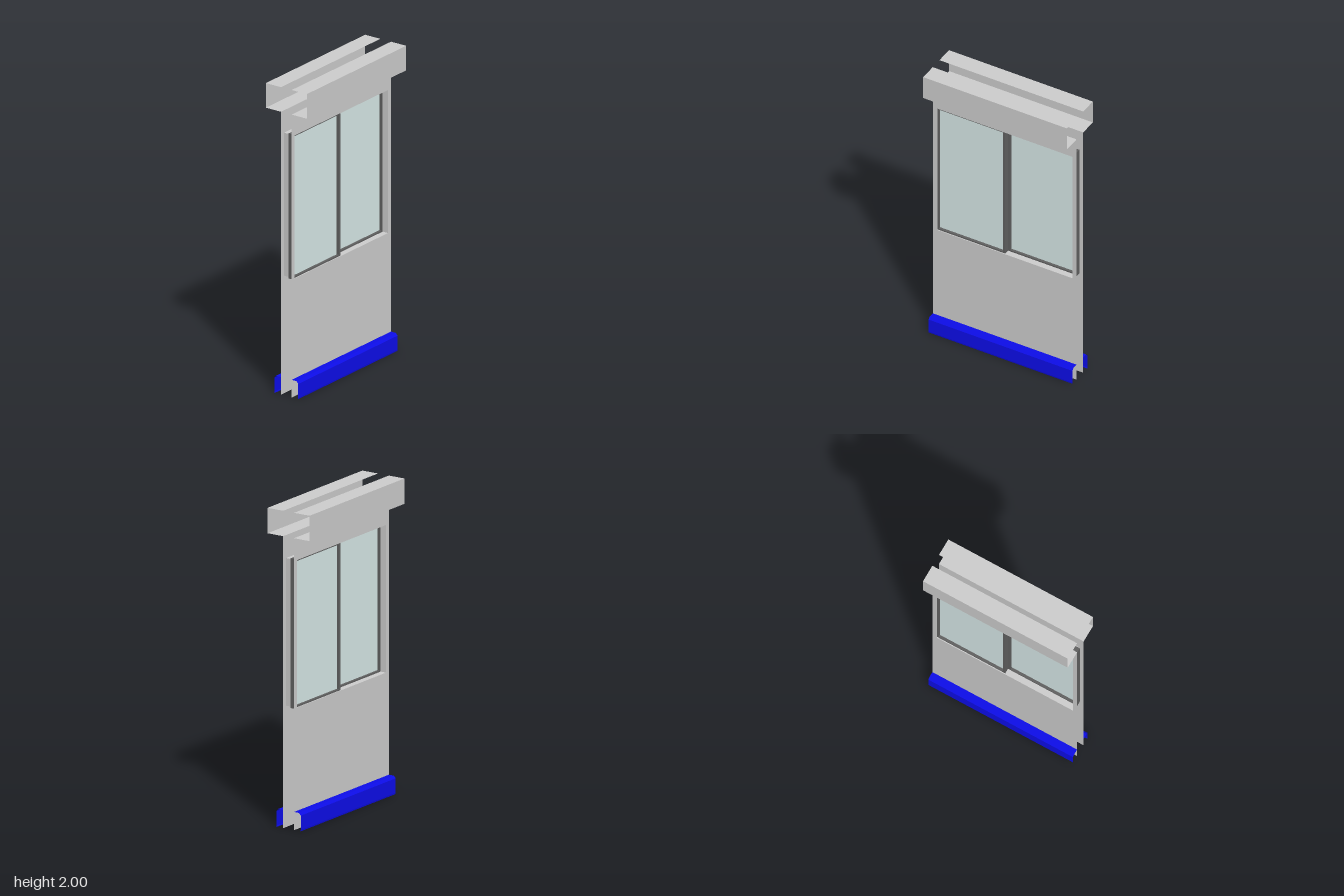
import * as THREE from 'three';

const mat = (color) => new THREE.MeshStandardMaterial({ color, side: THREE.DoubleSide, flatShading: true });
const grey = mat(0xcccccc);
const dark = mat(0x606060);
const blue = mat(0x0d0de8);
const glass = mat(0xd6e7e6);

const HALF_W = 0.505;  // half width of the wall
const FACE = 0.04;     // distance of each wall skin from the middle
const OPEN_X = 0.475, OPEN_B = 0.765, OPEN_T = 1.695;

function add(group, name, geometry, material) {
  const mesh = new THREE.Mesh(geometry, material);
  mesh.name = name;
  group.add(mesh);
  return mesh;
}

// Sheet swept from a to b; place(p, t) turns a profile point into [x, y, z]
function sheet(profile, a, b, place) {
  const pos = [];
  for (let i = 0; i < profile.length - 1; i++) {
    const p = profile[i], q = profile[i + 1];
    const [A, B, C, D] = [place(p, a), place(q, a), place(q, b), place(p, b)];
    pos.push(...A, ...B, ...C, ...A, ...C, ...D);
  }
  const g = new THREE.BufferGeometry();
  g.setAttribute('position', new THREE.Float32BufferAttribute(pos, 3));
  g.computeVertexNormals();
  return g;
}
const alongX = ([z, y], x) => [x, y, z];
const alongZ = ([x, y], z) => [x, y, z];

function rect(path, x0, y0, x1, y1) {
  path.moveTo(x0, y0);
  path.lineTo(x1, y0);
  path.lineTo(x1, y1);
  path.lineTo(x0, y1);
  path.closePath();
  return path;
}

// Framed sliding window
function createSash() {
  const sash = new THREE.Group();
  sash.name = 'windowSash';
  const x0 = -0.482, x1 = 0, y0 = 0.758, y1 = 1.702, w = 0.016;
  const outline = rect(new THREE.Shape(), x0, y0, x1, y1);
  outline.holes.push(rect(new THREE.Path(), x0 + w, y0 + w, x1 - w, y1 - w));
  add(sash, 'sashFrame', new THREE.ExtrudeGeometry(outline, { depth: 0.034, bevelEnabled: false }), dark);
  const pane = add(sash, 'glassPane', new THREE.PlaneGeometry(x1 - x0 - 2 * w, y1 - y0 - 2 * w), glass);
  pane.position.set((x0 + x1) / 2, (y0 + y1) / 2, 0.017);
  return sash;
}

// One skin of the wall with its trim and its sash
function createSide(name) {
  const side = new THREE.Group();
  side.name = name;

  // Wall sheet with the window opening
  const wall = rect(new THREE.Shape(), -HALF_W, 0, HALF_W, 1.84);
  wall.holes.push(rect(new THREE.Path(), -OPEN_X, OPEN_B, OPEN_X, OPEN_T));
  add(side, 'wallPanel', new THREE.ShapeGeometry(wall), grey).position.z = FACE;

  // Open channel along the top
  const channel = [[FACE, 1.84], [0.155, 1.84], [0.155, 2], [FACE, 2]];
  add(side, 'topChannel', sheet(channel, -HALF_W, HALF_W, alongX), grey);

  // Skirting with a chamfered top edge
  const skirt = [[0.088, 0], [0.09, 0.01], [0.09, 0.1], [0.077, 0.115], [FACE, 0.115]];
  add(side, 'skirting', sheet(skirt, -HALF_W, HALF_W, alongX), blue);

  // Window reveals: deep beside the far sash, shallow around the near one
  const reveal = (s) => [[0, OPEN_B], [s * OPEN_X, OPEN_B], [s * OPEN_X, OPEN_T], [0, OPEN_T]];
  add(side, 'deepReveal', sheet(reveal(1), 0, FACE, alongZ), grey);
  add(side, 'shallowReveal', sheet(reveal(-1), 0.034, FACE, alongZ), grey);

  side.add(createSash());
  return side;
}

export function createModel() {
  const model = new THREE.Group();
  model.name = 'wallPanelWithSlidingWindow';
  const front = createSide('frontSide');
  const back = createSide('backSide');
  back.rotation.y = Math.PI;
  model.add(front, back);
  return model;
}
